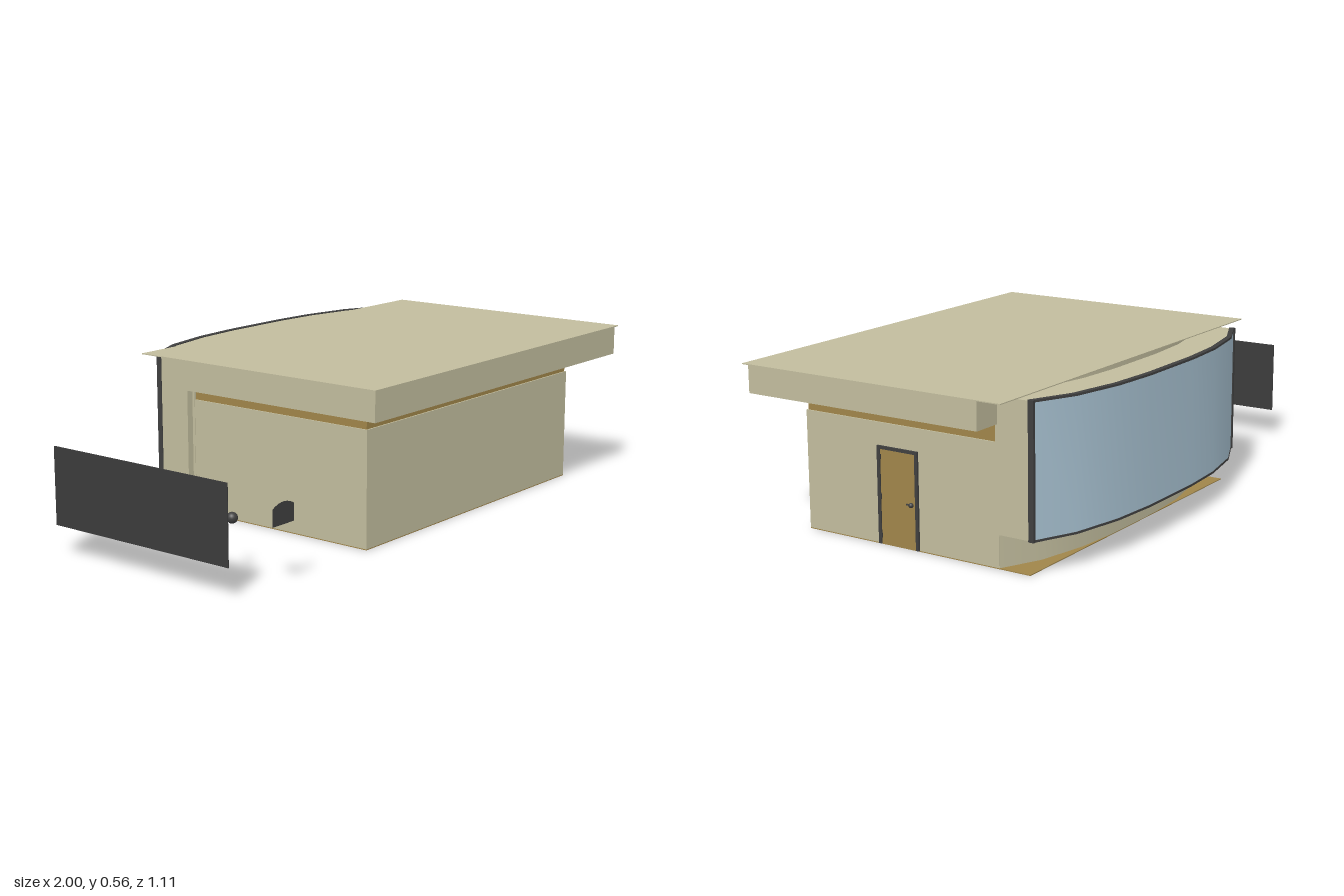
import * as THREE from 'three';
import { toCreasedNormals } from 'three/addons/utils/BufferGeometryUtils.js';

const mat = (color) => new THREE.MeshStandardMaterial({ color });

export function createModel() {
  const house = new THREE.Group();
  house.name = 'house';
  const plaster = mat(0xc2bd9e), wood = mat(0xa0854a), dark = mat(0x404040), glass = mat(0xa9c3d3);

  const add = (name, geometry, material) => {
    const mesh = new THREE.Mesh(geometry, material);
    mesh.name = name;
    house.add(mesh);
    return mesh;
  };
  // Box given by its minimum and maximum on each axis
  const box = (name, material, x0, x1, y0, y1, z0, z1) => {
    const mesh = add(name, new THREE.BoxGeometry(x1 - x0, y1 - y0, z1 - z0), material);
    mesh.position.set((x0 + x1) / 2, (y0 + y1) / 2, (z0 + z1) / 2);
    return mesh;
  };

  // Bowed back line, mirrored about the house centre: [offset in x, depth]
  const centre = 0.246;
  const half = [[0.135, 0.556], [0.305, 0.544], [0.485, 0.508], [0.625, 0.445]];
  const bow = (inset, scale = 1) => [
    ...half.map(([x, d]) => [centre - x * scale, d - inset]).reverse(),
    ...half.map(([x, d]) => [centre + x * scale, d - inset]),
  ];
  // Plan outline of (x, -z) points raised from y0 to y1
  const raise = (name, material, points, y0, y1) => {
    const shape = new THREE.Shape(points.map(([x, d]) => new THREE.Vector2(x, d)));
    const geometry = new THREE.ExtrudeGeometry(shape, { depth: y1 - y0, bevelEnabled: false });
    geometry.rotateX(-Math.PI / 2).translate(0, y0, 0);
    return add(name, toCreasedNormals(geometry, 0.5), material);
  };
  // Bowed outline closed by a straight front edge, and a thin bowed strip
  const bowedBlock = (line, front) => [...line, [line.at(-1)[0], front], [line[0][0], front]];
  const strip = (inset, thickness) => [...bow(inset), ...bow(inset + thickness).reverse()];

  // Floor, walls and timber band
  box('floor', wood, -0.355, 0.85, 0, 0.003, -0.42, 0.43);
  box('walls', plaster, -0.355, 0.85, 0.003, 0.393, -0.31, 0.43);
  box('timberBand', wood, -0.35, 0.845, 0.393, 0.456, -0.309, 0.425);
  raise('curvedBackWall', plaster, bowedBlock(bow(0.135, 0.964), 0.3), 0.003, 0.553);

  // Roof with its overhanging top sheet
  box('roofFascia', plaster, -0.48, 0.973, 0.455, 0.553, -0.32, 0.555);
  box('roofSheet', plaster, -0.48, 1, 0.553, 0.556, -0.422, 0.555);

  // Projecting bay with curved window
  raise('bay', plaster, bowedBlock(bow(0.014), 0.312), 0.116, 0.54);
  raise('bayWindow', glass, strip(0.002, 0.012), 0.12, 0.536);
  raise('windowBottomRail', dark, strip(0, 0.018), 0.113, 0.12);
  raise('windowTopRail', dark, strip(0, 0.018), 0.536, 0.543);
  for (const side of [-1, 1]) {
    const x = centre + side * 0.623;
    box('windowPost', dark, x - 0.005, x + 0.005, 0.113, 0.543, -0.449, -0.43);
  }

  // Door on the +x wall
  box('door', wood, 0.845, 0.853, 0.004, 0.31, 0, 0.135);
  box('doorJamb', dark, 0.845, 0.857, 0.003, 0.32, 0.134, 0.145);
  box('doorJamb', dark, 0.845, 0.857, 0.003, 0.32, -0.011, 0);
  box('doorHead', dark, 0.845, 0.857, 0.31, 0.32, -0.011, 0.145);
  for (const y of [0.03, 0.157, 0.285]) {
    box('hinge', dark, 0.85, 0.858, y - 0.008, y + 0.008, 0.131, 0.136);
  }
  const knob = add('doorKnob', new THREE.SphereGeometry(0.008, 16, 10), dark);
  knob.position.set(0.86, 0.148, 0.013);
  box('doorLever', dark, 0.856, 0.861, 0.146, 0.15, 0.008, 0.032);

  // Free-standing dark panel
  box('sidePanel', mat(0x3c3c3c), -1, -0.997, 0.1, 0.355, -0.3, 0.418);

  // Loose fittings: ball, domed plate and small downward disc
  const ball = add('ball', new THREE.SphereGeometry(0.018, 20, 14), dark);
  ball.position.set(-0.797, 0.177, 0.255);
  const plate = new THREE.Shape();
  plate.moveTo(-0.05, 0.193);
  plate.lineTo(0.05, 0.193);
  plate.lineTo(0.05, 0.248);
  plate.quadraticCurveTo(0, 0.278, -0.05, 0.248);
  const plateMaterial = mat(0x404040);
  plateMaterial.side = THREE.DoubleSide;
  add('domedPlate', new THREE.ShapeGeometry(plate, 10), plateMaterial).position.set(-0.797, 0, 0.457);
  const disc = add('disc', new THREE.CircleGeometry(0.025, 24), dark);
  disc.rotation.x = Math.PI / 2;
  disc.position.set(-0.797, 0.205, 0.425);

  return house;
}
